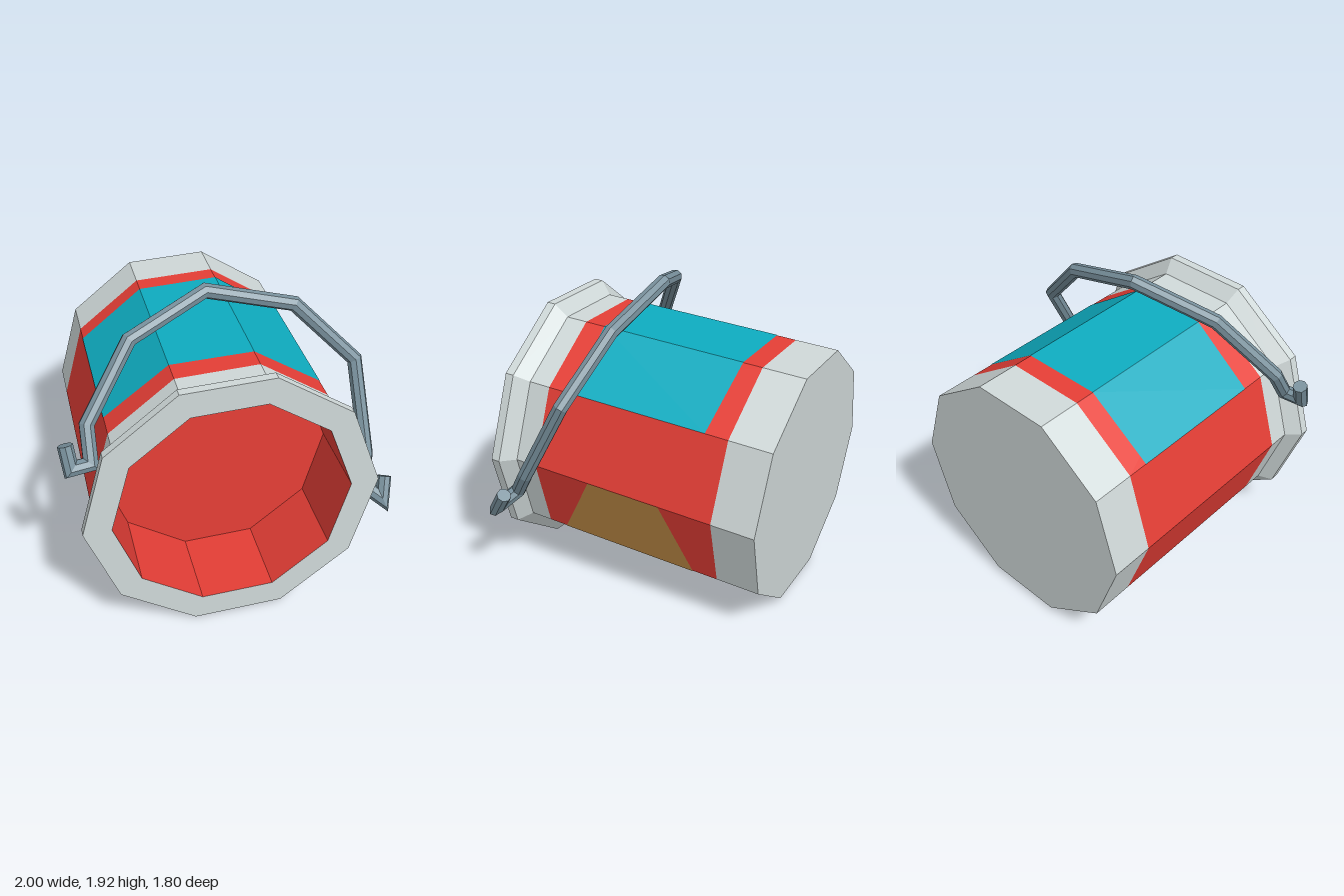
import * as THREE from 'three';

const SIDES = 10;
const FIRST = 2.3; // angle in degrees of one body edge, seen from the front
const RADIUS = 0.803;

const material = (name, color) => {
  const m = new THREE.MeshStandardMaterial({ color });
  m.name = name;
  return m;
};

// Give every face its own normal
function faceted(geometry) {
  const g = geometry.index ? geometry.toNonIndexed() : geometry;
  g.computeVertexNormals();
  return g;
}

function fromPoints(points, index) {
  const g = new THREE.BufferGeometry().setFromPoints(points);
  g.setIndex(index);
  return faceted(g);
}

// Ten-sided turned shell around z; profile is [radius, z]
function shell(profile) {
  const g = new THREE.LatheGeometry(
    profile.map(([r, z]) => new THREE.Vector2(r, z)), SIDES,
    THREE.MathUtils.degToRad(FIRST + 90));
  g.rotateX(Math.PI / 2);
  return faceted(g);
}

// Painted strip over neighbouring facets; rows are [edge number, front z, back z]
function strip(rows) {
  const points = [];
  const index = [];
  rows.forEach(([edge, front, back], i) => {
    const a = THREE.MathUtils.degToRad(FIRST + edge * 360 / SIDES);
    const x = Math.cos(a) * (RADIUS + 0.003);
    const y = Math.sin(a) * (RADIUS + 0.003);
    points.push(new THREE.Vector3(x, y, back), new THREE.Vector3(x, y, front));
    if (i > 0) {
      const p = 2 * (i - 1);
      index.push(p, p + 2, p + 3, p, p + 3, p + 1);
    }
  });
  return fromPoints(points, index);
}

// Bent rod with mitred corners and closed ends
function rod(path, radius, sides) {
  const pts = path.map(p => new THREE.Vector3(...p));
  const dirs = pts.slice(1).map((p, i) => p.clone().sub(pts[i]).normalize());
  const u = new THREE.Vector3(0, 0, 1).cross(dirs[0]).normalize();
  const v = dirs[0].clone().cross(u);
  let ring = [];
  for (let j = 0; j < sides; j++) {
    const a = (j / sides) * Math.PI * 2;
    ring.push(pts[0].clone()
      .addScaledVector(u, Math.cos(a) * radius)
      .addScaledVector(v, Math.sin(a) * radius));
  }
  const points = [...ring];
  const index = [];
  dirs.forEach((d, i) => {
    // slide the ring along the segment to the mitre plane of the next corner
    const n = d.clone().add(dirs[i + 1] || d).normalize();
    const end = pts[i + 1];
    ring = ring.map(p =>
      p.clone().addScaledVector(d, end.clone().sub(p).dot(n) / d.dot(n)));
    points.push(...ring);
    for (let j = 0; j < sides; j++) {
      const k = (j + 1) % sides;
      const a = i * sides;
      const b = a + sides;
      index.push(a + j, a + k, b + k, a + j, b + k, b + j);
    }
  });
  const last = dirs.length * sides;
  for (let j = 1; j < sides - 1; j++) {
    index.push(0, j + 1, j, last, last + j, last + j + 1);
  }
  return fromPoints(points, index);
}

export function createModel() {
  const grey = material('pale grey', 0xcfd8d8);
  const red = material('red', 0xe53e36);
  const teal = material('teal', 0x0eacc0);
  const brown = material('tan brown', 0xbf8b45);
  const steel = material('steel blue grey', 0x78909c);

  const model = new THREE.Group();
  model.name = 'bucket';

  // Bucket lying on its side, mouth to the front and tipped up a little
  const body = new THREE.Group();
  body.name = 'body';
  body.position.set(-0.036, 0.828, 0);
  body.rotation.x = -0.035;
  model.add(body);

  const add = (parent, name, geometry, mat) => {
    const mesh = new THREE.Mesh(geometry, mat);
    mesh.name = name;
    parent.add(mesh);
  };

  add(body, 'base', shell([[0, -0.872], [RADIUS, -0.872], [RADIUS, -0.6]]), grey);
  add(body, 'wall', shell([[RADIUS, -0.6], [RADIUS, 0.6]]), red);
  add(body, 'rim', shell([
    [RADIUS, 0.6], [RADIUS, 0.74], [0.883, 0.817], [0.883, 0.872], [0.715, 0.872],
  ]), grey);
  add(body, 'inside', shell([[0.715, 0.872], [0.715, 0.36], [0, 0.36]]), red);

  // Painted panels
  add(body, 'topPanel', strip([
    [1, 0.45, -0.455], [2, 0.465, -0.478], [3, 0.457, -0.475], [4, 0.44, -0.47],
  ]), teal);
  add(body, 'sidePanel', strip([
    [-3, 0.25, -0.22], [-2, 0.495, -0.435], [-1, 0.475, -0.44], [0, 0.22, -0.26],
  ]), brown);

  // Wire handle with a hook at each end
  add(model, 'handle', rod([
    [-0.95, 1.31, 0.65], [-0.935, 1.18, 0.705], [-0.82, 1.185, 0.69],
    [-0.815, 1.37, 0.57], [-0.52, 1.735, 0.33], [-0.04, 1.885, 0.15],
    [0.49, 1.75, 0.19], [0.85, 1.39, 0.32], [0.87, 0.87, 0.6],
    [0.825, 0.71, 0.7], [0.935, 0.635, 0.775], [0.965, 0.75, 0.7],
  ], 0.045, 8), steel);

  return model;
}
